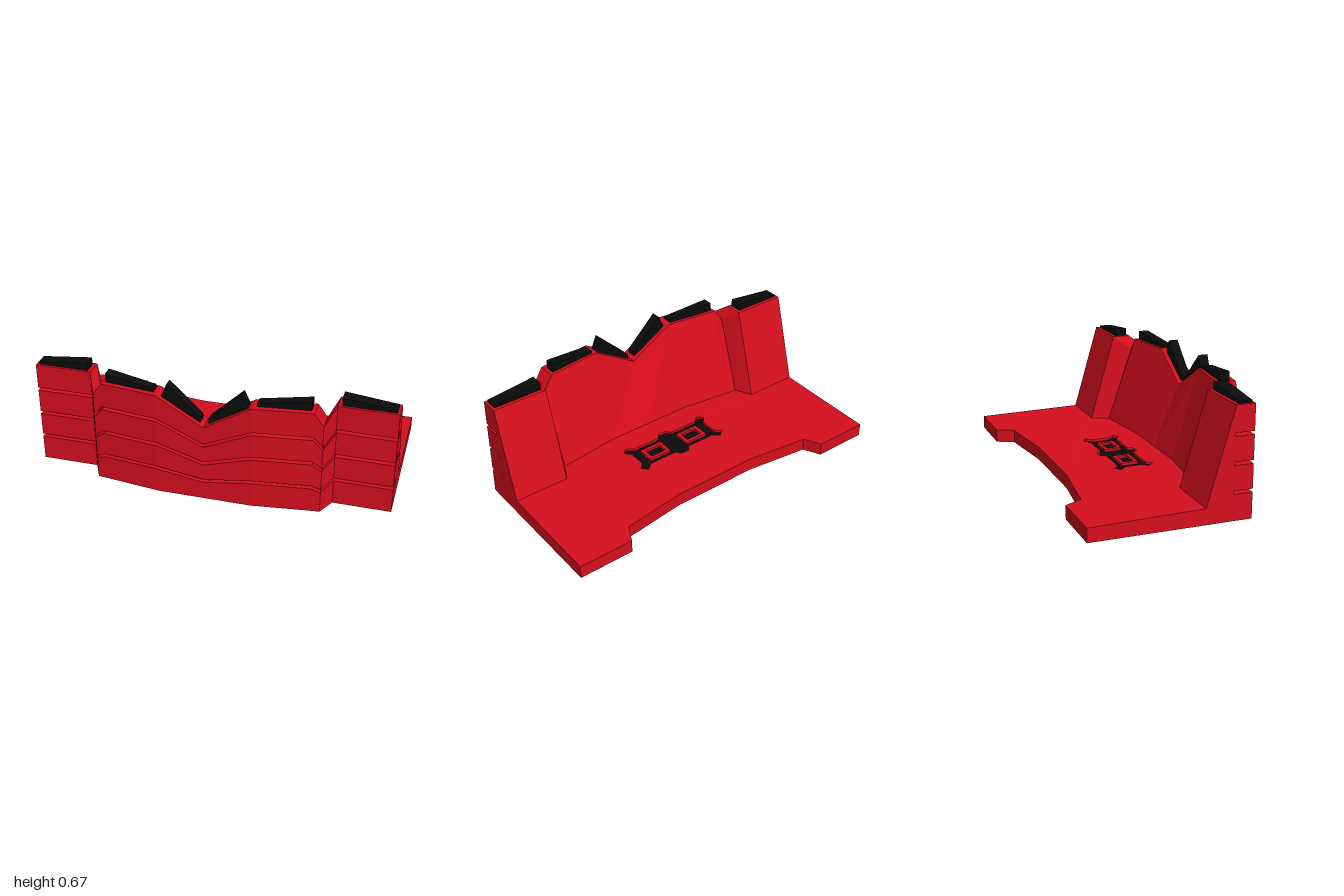
import * as THREE from 'three';

const red = new THREE.MeshStandardMaterial({ color: 0xd60e1d, flatShading: true });
const redThin = new THREE.MeshStandardMaterial({ color: 0xd60e1d, flatShading: true, side: THREE.DoubleSide });
const black = new THREE.MeshStandardMaterial({ color: 0x0b0b0b, flatShading: true, side: THREE.DoubleSide });

// Half plan, centre outwards: x, front z, wall top y
const half = [[0, 0.51, 0.45], [0.26, 0.51, 0.605], [0.58, 0.47, 0.605], [0.63, 0.465, 0.53], [0.68, 0.365, 0.605], [1, 0.365, 0.605]];
const stations = [...half.slice(1).reverse().map(([x, z, y]) => [-x, z, y]), ...half];

const TOP = 0.105, FOOT = 0.255, BACK = 0.88;   // distances behind the front edge
const FOOT_Y = 0.088, BACK_Y = 0.077;
const GROOVE = 0.009;                            // half height of a groove
const levels = [0.25, 0.5, 0.75];

function frontZ(x) {
  const a = Math.abs(x);
  for (let i = 1; i < half.length; i++) {
    const [x0, z0] = half[i - 1], [x1, z1] = half[i];
    if (a <= x1 + 1e-6) return z0 + (z1 - z0) * (a - x0) / (x1 - x0);
  }
  return half[half.length - 1][1];
}
const plateY = (x, z) => FOOT_Y - (FOOT_Y - BACK_Y) * (frontZ(x) - FOOT - z) / (BACK - FOOT);

function add(group, name, geometry, material) {
  const g = geometry.index ? geometry.toNonIndexed() : geometry;
  g.computeVertexNormals();
  const mesh = new THREE.Mesh(g, material);
  mesh.name = name;
  group.add(mesh);
}

// Quads between neighbouring rows of points; skip(j) leaves a strip out
function loft(rows, closed, skip = () => false) {
  const p = [];
  for (let i = 0; i + 1 < rows.length; i++) {
    const n = rows[i].length;
    for (let j = 0; j < (closed ? n : n - 1); j++) {
      if (skip(j)) continue;
      const k = (j + 1) % n;
      const a = rows[i][j], b = rows[i + 1][j], c = rows[i + 1][k], d = rows[i][k];
      p.push(...a, ...b, ...c, ...a, ...c, ...d);
    }
  }
  const g = new THREE.BufferGeometry();
  g.setAttribute('position', new THREE.Float32BufferAttribute(p, 3));
  return g;
}

// Cross-section of wall and plate, from front bottom over the top to the back
function section([x, z, y]) {
  const pts = [[x, 0, z]];
  for (const k of levels) {
    const lo = y * k - GROOVE, hi = y * k + GROOVE;
    pts.push([x, lo, z], [x, lo, z - TOP], [x, hi, z - TOP], [x, hi, z]);
  }
  pts.push([x, y, z], [x, y, z - TOP], [x, FOOT_Y, z - FOOT], [x, BACK_Y, z - BACK], [x, 0, z - BACK]);
  return pts;
}

// Flat shape given as [x, z] points, laid onto the plate at a depth
const toShape = (pts) => new THREE.Shape(pts.map(([x, z]) => new THREE.Vector2(x, -z)));
function lay(pts, holes, depth) {
  const shape = toShape(pts);
  holes.forEach((h) => shape.holes.push(toShape(h)));
  const g = new THREE.ShapeGeometry(shape).rotateX(-Math.PI / 2);
  const p = g.attributes.position;
  for (let i = 0; i < p.count; i++) p.setY(i, plateY(p.getX(i), p.getZ(i)) - depth);
  return g;
}
// Upright sides of a recess along a closed outline
const sides = (pts, depth) => loft([...pts, pts[0]].map(([x, z]) => {
  const y = plateY(x, z);
  return [[x, y - depth, z], [x, y, z]];
}), false);

const rect = (cx, cz, w, d) => [[-1, -1], [1, -1], [1, 1], [-1, 1]].map(([sx, sz]) => [cx + sx * w / 2, cz + sz * d / 2]);

export function createModel() {
  const model = new THREE.Group();
  model.name = 'rampartBase';

  // Grooved wall and plate body; the plate top is built separately
  const rows = stations.map(section);
  const n = rows[0].length, plateStrip = n - 3;
  const grooveBack = (j) => j < 12 && j % 4 === 2;
  add(model, 'wallAndPlate', loft(rows, true, (j) => j === plateStrip || grooveBack(j)), red);
  add(model, 'grooveBacks', loft(rows, true, (j) => !grooveBack(j)), black);

  // End faces
  for (const s of [-1, 1]) {
    const pts = section(stations[stations.length - 1]).map(([, y, z]) => new THREE.Vector2(-s * z, y));
    const cap = new THREE.ShapeGeometry(new THREE.Shape(pts)).rotateY(s * Math.PI / 2).translate(s, 0, 0);
    add(model, s > 0 ? 'leftEnd' : 'rightEnd', cap, red);
  }

  // Recessed emblem outline, one quarter mirrored twice
  const quarter = [[0.026, 0.112], [0.046, 0.082], [0.225, 0.082], [0.262, 0.114], [0.295, 0.085], [0.262, 0.05]];
  const flip = (pts, sx, sz) => pts.map(([x, z]) => [x * sx, z * sz]);
  const rev = [...quarter].reverse();
  const emblem = [...quarter, ...flip(rev, 1, -1), ...flip(quarter, -1, -1), ...flip(rev, -1, 1)]
    .map(([x, z]) => [x, z + 0.021]);
  const depth = 0.015;

  // Plate top with the emblem cut into it
  const plate = [
    ...stations.map(([x, z]) => [x, z - FOOT]),
    ...[...stations].reverse().map(([x, z]) => [x, z - BACK]),
  ];
  add(model, 'plateTop', lay(plate, [emblem], 0), red);
  add(model, 'emblemSides', sides(emblem, depth), redThin);
  add(model, 'emblemFloor', lay(emblem, [], depth), black);
  for (const s of [-1, 1]) {
    const outer = rect(s * 0.131, 0.021, 0.145, 0.1), inner = rect(s * 0.131, 0.021, 0.1, 0.06);
    add(model, 'emblemFrame', lay(outer, [inner], 0), red);
    add(model, 'emblemFrameOuterSides', sides(outer, depth), redThin);
    add(model, 'emblemFrameInnerSides', sides(inner, depth), redThin);
  }

  // Wedge-shaped crest blocks: front profile, back z along x, thickness
  const crests = [
    ['outerCrest', [[0.7, 0.6], [0.985, 0.6], [0.985, 0.618], [0.7, 0.65]], () => 0.28, 0.072],
    ['middleCrest', [[0.28, 0.6], [0.56, 0.6], [0.56, 0.656], [0.28, 0.622]], (x) => 0.385 + (0.56 - x) * 0.125, 0.058],
    ['innerCrest', [[0.022, 0.458], [0.238, 0.588], [0.204, 0.666], [0.022, 0.49]], () => 0.43, 0.055],
  ];
  for (const [name, profile, backZ, thick] of crests) {
    for (const s of [-1, 1]) {
      const shape = new THREE.Shape(profile.map(([x, y]) => new THREE.Vector2(s * x, y)));
      const g = new THREE.ExtrudeGeometry(shape, { depth: thick, bevelEnabled: false });
      const p = g.attributes.position;
      for (let i = 0; i < p.count; i++) p.setZ(i, p.getZ(i) + backZ(Math.abs(p.getX(i))));
      add(model, (s > 0 ? 'left ' : 'right ') + name, g, black);
    }
  }
  return model;
}
